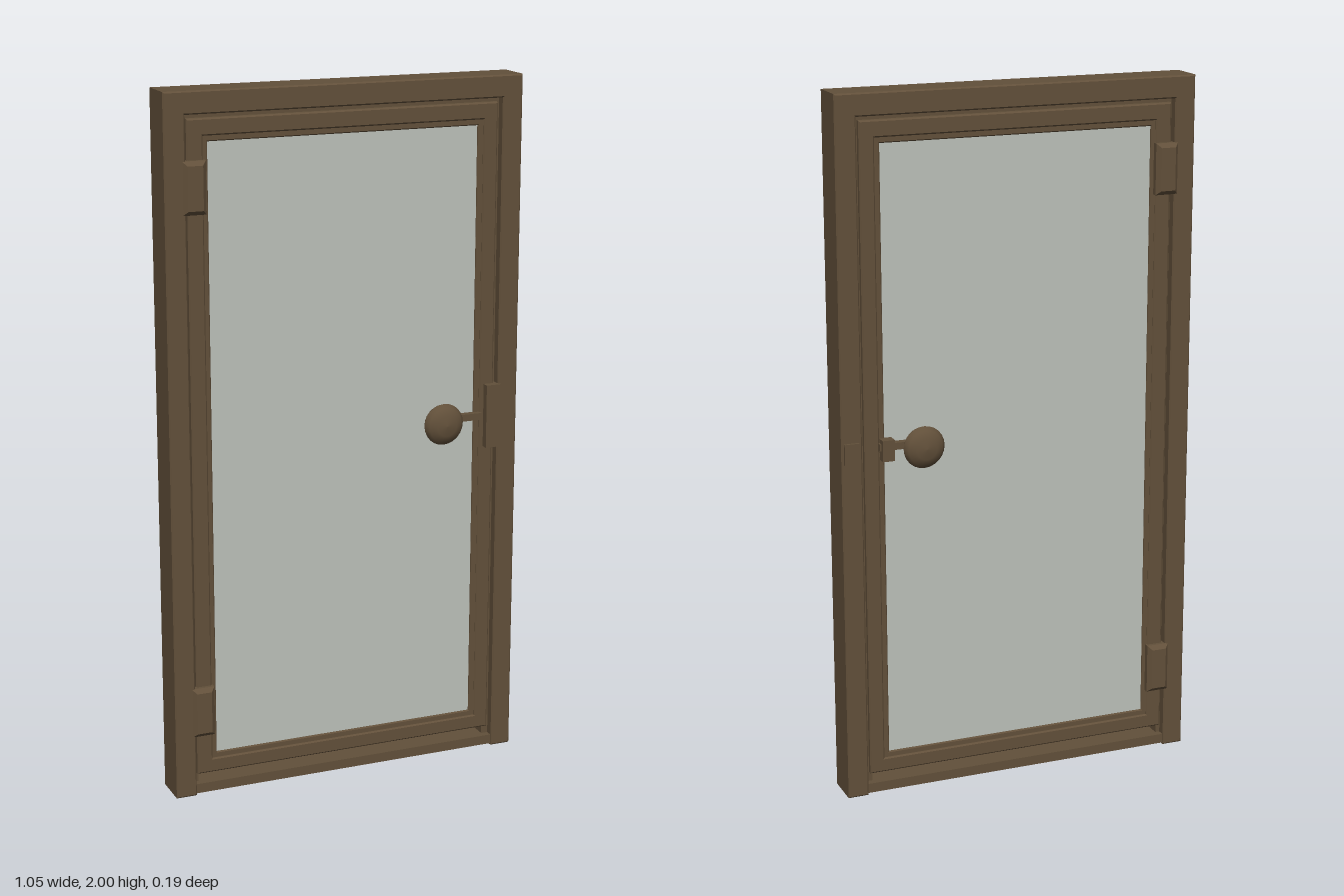
import * as THREE from 'three';

const wood = new THREE.MeshStandardMaterial({ color: 0x62503a });
wood.name = 'brown wood';
const pale = new THREE.MeshStandardMaterial({ color: 0xbcc0b9 });
pale.name = 'pale grey panel';

export function createModel() {
  const root = new THREE.Group();
  root.name = 'framedDoor';

  const add = (name, geo, mat) => {
    const m = new THREE.Mesh(geo, mat);
    m.name = name;
    root.add(m);
    return m;
  };
  // Box given by its limits on each axis
  const box = (name, x0, x1, y0, y1, z0, z1, mat = wood) => {
    const m = add(name, new THREE.BoxGeometry(x1 - x0, y1 - y0, z1 - z0), mat);
    m.position.set((x0 + x1) / 2, (y0 + y1) / 2, (z0 + z1) / 2);
    return m;
  };
  const path = (Type, pts) => new Type(pts.map(p => new THREE.Vector2(...p)));
  const rect = (x0, x1, y0, y1) => [[x0, y0], [x1, y0], [x1, y1], [x0, y1]];
  // Solid outline centred on z = 0, with lightly bevelled edges
  const slab = (name, outer, inner, half, bevel) => {
    const shape = path(THREE.Shape, outer);
    if (inner) shape.holes.push(path(THREE.Path, inner));
    const geo = new THREE.ExtrudeGeometry(shape, {
      depth: 2 * (half - bevel), bevelEnabled: true, bevelThickness: bevel,
      bevelSize: bevel, bevelOffset: -bevel, bevelSegments: 1,
    });
    geo.translate(0, 0, bevel - half);
    return add(name, geo, wood);
  };

  // Fixed frame: two jambs and the head, joined by a low threshold
  slab('outerFrame', [[-0.525, 0], [-0.465, 0], [-0.465, 1.937], [0.465, 1.937],
    [0.465, 0], [0.525, 0], [0.525, 2], [-0.525, 2]], null, 0.057, 0.004);
  box('threshold', -0.467, 0.467, 0.004, 0.032, -0.05, 0.05);

  // Stops lining the frame
  box('leftStop', -0.467, -0.452, 0.03, 1.94, -0.03, 0.03);
  box('rightStop', 0.445, 0.467, 0.03, 1.94, -0.03, 0.03);
  box('topStop', -0.467, 0.467, 1.915, 1.94, -0.03, 0.03);

  // Door leaf: rim, inner bead and flat panel
  slab('doorRim', rect(-0.458, 0.455, 0.06, 1.925), rect(-0.412, 0.412, 0.102, 1.878), 0.046, 0.004);
  slab('innerBead', rect(-0.416, 0.416, 0.098, 1.882), rect(-0.398, 0.396, 0.118, 1.862), 0.041, 0.003);
  box('doorPanel', -0.405, 0.405, 0.11, 1.87, -0.036, 0.036, pale);

  // Hinge plates, chamfered, showing on both faces
  for (const [y0, y1] of [[0.18, 0.325], [1.67, 1.815]])
    slab('hinge', rect(-0.475, -0.408, y0, y1), null, 0.068, 0.012);

  // Strike plate on the front and small catches on the back
  box('strikePlate', 0.425, 0.47, 0.935, 1.12, 0.03, 0.067);
  box('backCatch', 0.375, 0.41, 0.99, 1.05, -0.068, -0.03);
  box('backKeeper', 0.475, 0.518, 0.99, 1.05, -0.065, -0.05);

  // Knobs with pale necks and latch bars on each side
  const knobProfile = [[0, 0.05], [0.04, 0.05], [0.057, 0.06], [0.06, 0.068],
    [0.05, 0.081], [0.03, 0.092], [0, 0.095]].map(p => new THREE.Vector2(...p));
  const neckProfile = [[0.042, 0.03], [0.028, 0.04], [0.026, 0.056]]
    .map(p => new THREE.Vector2(...p));
  for (const side of [1, -1]) {
    const knob = add('knob', new THREE.LatheGeometry(knobProfile, 24), wood);
    const neck = add('knobNeck', new THREE.LatheGeometry(neckProfile, 24), pale);
    for (const m of [knob, neck]) {
      m.rotation.x = side * Math.PI / 2;
      m.position.set(0.29, 1.02, 0);
    }
    const z = side * 0.045;
    box('latchBar', 0.33, 0.415, 1.018, 1.038, z - 0.012, z + 0.012);
  }
  return root;
}
